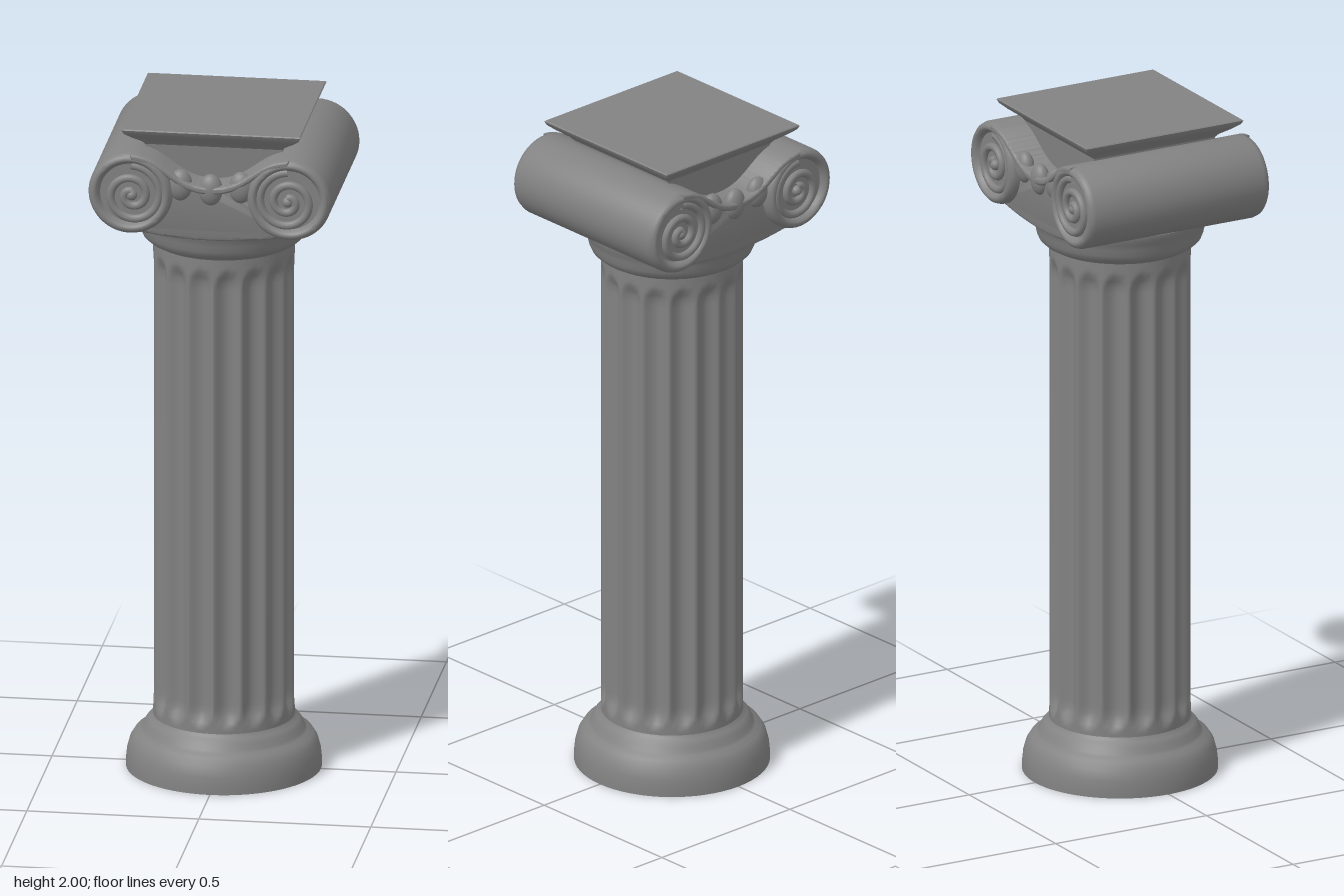
import * as THREE from 'three';
import { toCreasedNormals } from 'three/addons/utils/BufferGeometryUtils.js';

const stone = new THREE.MeshStandardMaterial({ color: 0x828282, side: THREE.DoubleSide });
const VX = 0.231, VY = 1.817, VR = 0.122; // volute centre and radius
const V2 = (x, y) => new THREE.Vector2(x, y);

function add(parent, name, geometry) {
  const mesh = new THREE.Mesh(geometry, stone);
  mesh.name = name;
  parent.add(mesh);
  return mesh;
}

// Smooth turned ring with creased steps
function turned(pairs, segments = 64) {
  return toCreasedNormals(new THREE.LatheGeometry(pairs.map(p => V2(...p)), segments), 0.8);
}

// Shape extruded along z, centred on z = 0, with rounded rims
function slab(shape, halfDepth, bevel) {
  const g = new THREE.ExtrudeGeometry(shape, {
    depth: 2 * (halfDepth - bevel), curveSegments: 40, bevelEnabled: true,
    bevelThickness: bevel, bevelSize: bevel, bevelOffset: -bevel, bevelSegments: 4,
  });
  g.translate(0, 0, -(halfDepth - bevel));
  return toCreasedNormals(g, 0.7);
}

// Shaft wall pressed in by soft, round-ended flutes
function flutedShaft() {
  const count = 16, radius = 0.204, y0 = 0.14, y1 = 1.62, f0 = 0.18, f1 = 1.56;
  const g = new THREE.CylinderGeometry(radius, radius, 1, 192, 60, true);
  const p = g.attributes.position;
  for (let i = 0; i < p.count; i++) {
    const t = p.getY(i) + 0.5;
    // rows crowd towards both ends
    const y = y0 + (y1 - y0) * (0.5 - 0.5 * Math.cos(Math.PI * t));
    const a = Math.atan2(p.getX(i), p.getZ(i));
    const turn = a / (2 * Math.PI) * count;
    const off = Math.abs(turn - Math.floor(turn) - 0.5) / 0.46;
    const end = Math.max(0, 1 - Math.min(y - f0, f1 - y) / 0.05);
    const dent = Math.max(0, 1 - off * off - end * end);
    const r = radius - 0.021 * dent;
    p.setXYZ(i, r * Math.sin(a), y, r * Math.cos(a));
  }
  g.computeVertexNormals();
  return g;
}

// Sagging band that joins the tops of the two volutes
function saddleShape() {
  const s = new THREE.Shape();
  s.moveTo(-VX, 1.939);
  s.bezierCurveTo(-0.13, 1.935, -0.11, 1.845, 0, 1.845);
  s.bezierCurveTo(0.11, 1.845, 0.13, 1.935, VX, 1.939);
  s.lineTo(VX, 1.919);
  s.bezierCurveTo(0.13, 1.91, 0.11, 1.823, 0, 1.823);
  s.bezierCurveTo(-0.11, 1.823, -0.13, 1.91, -VX, 1.919);
  return s;
}

// Recessed block between the volutes
function coreShape() {
  const s = new THREE.Shape();
  s.moveTo(-VX, 1.697);
  s.quadraticCurveTo(-0.12, 1.675, 0, 1.675);
  s.quadraticCurveTo(0.12, 1.675, VX, 1.697);
  s.lineTo(VX, 1.92);
  s.bezierCurveTo(0.13, 1.92, 0.11, 1.835, 0, 1.835);
  s.bezierCurveTo(-0.11, 1.835, -0.13, 1.92, -VX, 1.92);
  return s;
}

// Raised scroll line winding out from the eye into the volute rim
function scroll(side) {
  const pts = [], turns = 2, n = 50;
  for (let i = 0; i <= n; i++) {
    const t = i / n;
    const a = Math.PI / 2 + (1 - t) * turns * 2 * Math.PI;
    const r = 0.012 + 0.078 * t;
    pts.push(new THREE.Vector3(side * (VX + r * Math.cos(a) - 0.004), VY - 0.006 + r * Math.sin(a), 0));
  }
  return new THREE.TubeGeometry(new THREE.CatmullRomCurve3(pts), 120, 0.012, 8);
}

// One carved face of the capital, looking towards +z
function capitalFace() {
  const face = new THREE.Group();
  for (const side of [-1, 1]) {
    add(face, 'scrollLine', scroll(side)).position.z = 0.284;
    const eye = add(face, 'scrollEye', new THREE.SphereGeometry(0.016, 20, 12));
    eye.position.set(side * (VX - 0.004), VY - 0.006, 0.282);
  }
  // Egg mouldings hang below the saddle
  for (const x of [-0.088, 0, 0.088]) {
    const egg = add(face, 'egg', new THREE.SphereGeometry(1, 24, 16));
    egg.scale.set(0.035, 0.047, 0.026);
    egg.position.set(x, 1.832 + 1.4 * x * x, 0.265);
  }
  return face;
}

export function createModel() {
  const model = new THREE.Group();
  model.name = 'column';

  // Hollow moulded foot
  add(model, 'base', turned([
    [0.282, 0], [0.282, 0.02], [0.279, 0.05], [0.271, 0.08], [0.257, 0.102], [0.24, 0.11],
    [0.233, 0.118], [0.227, 0.134], [0.216, 0.147], [0.207, 0.153], [0.201, 0.165],
  ]));
  add(model, 'shaft', flutedShaft());

  // Necking and cushion under the capital
  add(model, 'collar', turned([
    [0.2, 1.59], [0.207, 1.602], [0.222, 1.607], [0.234, 1.618], [0.24, 1.632], [0.244, 1.65],
    [0.249, 1.668], [0.257, 1.682], [0.258, 1.695], [0, 1.71],
  ]));

  const capital = new THREE.Group();
  capital.name = 'capital';
  model.add(capital);
  add(capital, 'capitalCore', slab(coreShape(), 0.267, 0.012));

  // Saddle, its ends curving inwards at the middle
  const saddle = slab(saddleShape(), 0.3, 0.008);
  const p = saddle.attributes.position;
  for (let i = 0; i < p.count; i++) {
    const k = Math.max(0, 1 - (p.getX(i) / 0.2) ** 2);
    p.setZ(i, p.getZ(i) * (1 - 0.033 * k));
  }
  add(capital, 'saddle', saddle);

  // Volute rolls: turned about z, with dished ends
  const half = [[0, 0.281], [0.088, 0.281], [0.093, 0.29], [0.099, 0.298], [0.105, 0.3], [0.112, 0.297],
    [0.118, 0.291], [VR, 0.278]];
  const roll = [...half.map(([r, z]) => [r, -z]), ...half.slice().reverse()];
  for (const side of [-1, 1]) {
    const volute = add(capital, 'volute', turned(roll, 56));
    volute.rotation.x = Math.PI / 2;
    volute.position.set(side * VX, VY, 0);
  }

  for (const turn of [0, Math.PI]) {
    const face = capitalFace();
    face.name = turn ? 'backCarving' : 'frontCarving';
    face.rotation.y = turn;
    capital.add(face);
  }

  // Square top slab with a flared underside
  const profile = [[0, 1.82], [0.195, 1.82], [0.2, 1.94], [0.208, 1.95], [0.236, 1.97],
    [0.255, 1.986], [0.26, 1.997], [0.257, 2], [0, 2]];
  const abacus = new THREE.LatheGeometry(profile.map(([r, y]) => V2(r * Math.SQRT2, y)), 4, Math.PI / 4);
  add(capital, 'abacus', toCreasedNormals(abacus, 0.5));

  return model;
}
